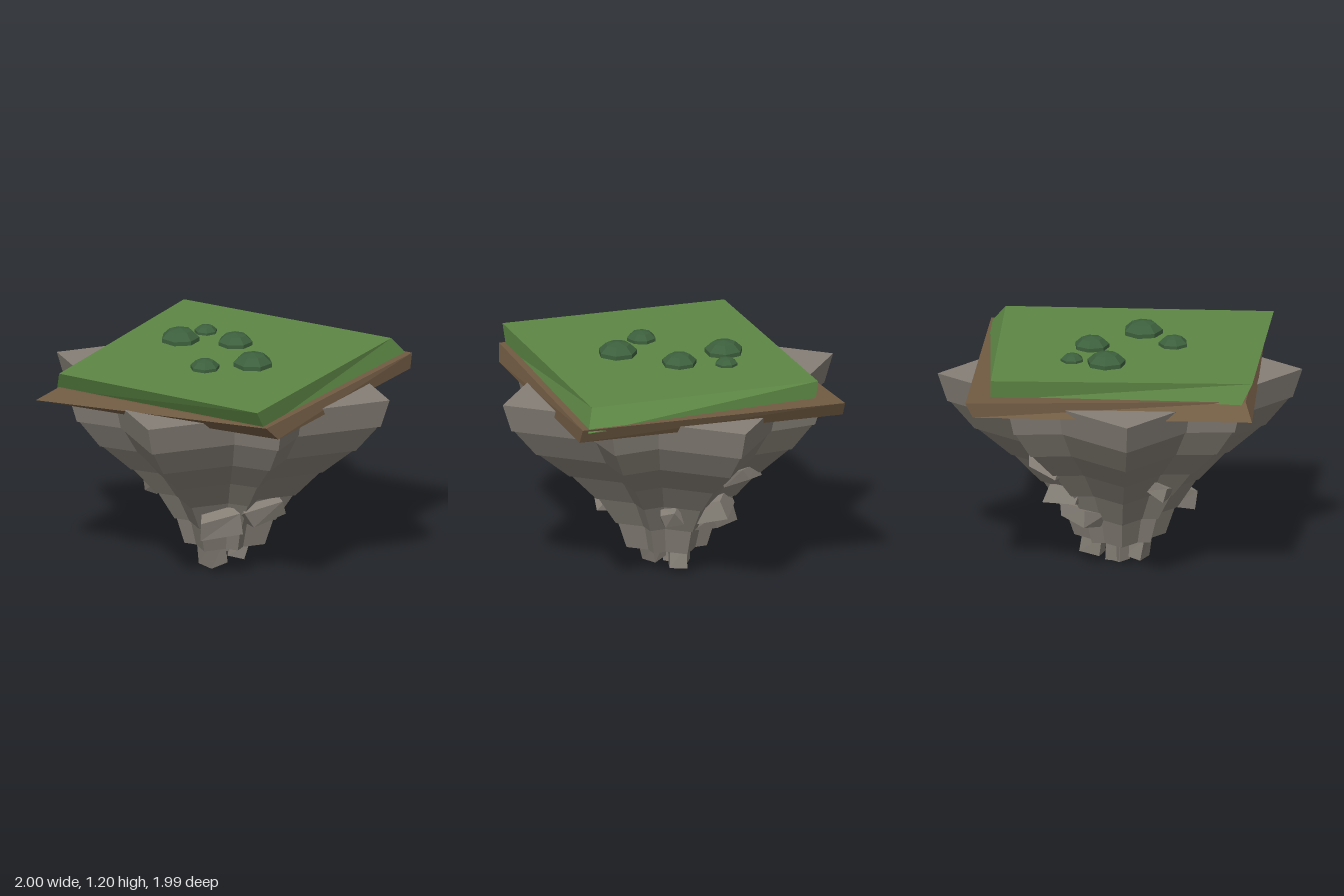
import * as THREE from 'three';

const flat = (name, color) => {
  const m = new THREE.MeshStandardMaterial({ color, flatShading: true });
  m.name = name;
  return m;
};

// Small seeded generator for the rough stones
function seeded(seed) {
  let s = seed * 7919 + 17;
  return () => {
    s = (s * 16807) % 2147483647;
    return s / 2147483647;
  };
}

// Six-sided block whose eight corners are given by place(signX, signY, signZ)
function block(place) {
  const g = new THREE.BoxGeometry(2, 2, 2);
  const p = g.attributes.position;
  for (let i = 0; i < p.count; i++) {
    p.setXYZ(i, ...place(p.getX(i) > 0, p.getY(i) > 0, p.getZ(i) > 0));
  }
  g.computeVertexNormals();
  return g;
}

// Slab from four corners (left, front, right, back) at two heights
function slab(yBottom, yTop, bottom, top) {
  return block((px, py, pz) => {
    const k = px ? (pz ? 2 : 3) : (pz ? 1 : 0);
    const [x, z] = (py ? top : bottom)[k];
    return [x, py ? yTop : yBottom, z];
  });
}

function stone(w, h, d, seed, rough) {
  const rnd = seeded(seed);
  for (let i = 0; i < 5; i++) rnd();
  const corners = Array.from({ length: 8 }, () => [rnd(), rnd(), rnd()].map((v) => 1 - rough * v));
  return block((px, py, pz) => {
    const c = corners[(px ? 1 : 0) + (py ? 2 : 0) + (pz ? 4 : 0)];
    return [(px ? 0.5 : -0.5) * w * c[0], (py ? 0.5 : -0.5) * h * c[1], (pz ? 0.5 : -0.5) * d * c[2]];
  });
}

export function createModel() {
  const model = new THREE.Group();
  const rock = flat('grey rock', 0x857f76);
  const soil = flat('brown soil', 0x715b43);
  const grass = flat('green grass', 0x5d8745);
  const leaf = flat('dark green leaf', 0x3d603d);

  const add = (name, geometry, material, parent = model) => {
    const mesh = new THREE.Mesh(geometry, material);
    mesh.name = name;
    parent.add(mesh);
    return mesh;
  };

  // Tapering rock: every layer is a square frustum crossed by a diamond one
  const rockBody = new THREE.Group();
  rockBody.name = 'rockBody';
  model.add(rockBody);
  const levels = [
    [1.0, 0.85], [0.85, 0.805], [0.70, 0.678], [0.555, 0.508],
    [0.41, 0.37], [0.26, 0.268], [0.12, 0.213],
  ];
  for (let i = 0; i < levels.length - 1; i++) {
    const [y1, r1] = levels[i];
    const [y0, r0] = levels[i + 1];
    const topRadius = i ? r1 - 0.012 : r1;
    for (const [name, scale, turn] of [['diamondLayer', 1, 0], ['squareLayer', 1.105, Math.PI / 4]]) {
      const layer = add(name, new THREE.CylinderGeometry(topRadius * scale, r0 * scale, y1 - y0, 4), rock, rockBody);
      layer.rotation.y = turn;
      layer.position.set(0, (y0 + y1) / 2, 0.02);
    }
  }

  // Jutting shards: position, size, rotation
  const shards = [
    [[-0.12, 0.31, 0.30], [0.24, 0.13, 0.14], [0.2, -0.2, 0.15]],
    [[0.10, 0.35, 0.30], [0.28, 0.13, 0.14], [0.2, 0.2, 0.15]],
    [[0.10, 0.37, -0.24], [0.24, 0.11, 0.24], [0.3, 0.15, -0.1]],
    [[0.09, 0.55, -0.40], [0.24, 0.08, 0.18], [0.4, 0.1, 0.1]],
    [[0.03, 0.28, -0.23], [0.28, 0.10, 0.16], [0.2, -0.15, 0.1]],
    [[-0.35, 0.45, -0.04], [0.12, 0.09, 0.14], [0.2, 0.3, 0.4]],
    [[0.29, 0.36, -0.10], [0.11, 0.10, 0.13], [0.3, 0.2, -0.3]],
  ];
  shards.forEach(([pos, size, rot], i) => {
    const s = add('rockShard', stone(...size, i + 3, 0.45), rock);
    s.position.set(...pos);
    s.rotation.set(...rot);
  });

  // Broken stones hanging from the underside
  const hanging = [
    [[-0.08, 0.07, 0.07], [0.11, 0.13, 0.12], 0.15],
    [[-0.03, 0.065, -0.02], [0.08, 0.13, 0.14], 0],
    [[0.10, 0.08, -0.07], [0.12, 0.12, 0.10], 0.2],
    [[0.06, 0.08, 0.08], [0.10, 0.10, 0.10], -0.2],
  ];
  hanging.forEach(([pos, size, tilt], i) => {
    const s = add('hangingStone', stone(...size, i + 21, 0.2), rock);
    s.position.set(...pos);
    s.rotation.set(0, tilt * 2, tilt);
  });
  const tip = add('lowestStone', new THREE.BoxGeometry(0.05, 0.12, 0.08), rock);
  tip.position.set(-0.045, 0.06, -0.02);

  // Uneven soil and turf slabs
  add('soilSlab', slab(0.965, 1.04,
    [[-1, -0.06], [-0.055, 0.965], [0.98, 0.15], [0.11, -0.975]],
    [[-0.9, 0.0], [-0.13, 0.99], [1, 0.125], [0.14, -1]]), soil);
  add('grassSlab', slab(1.022, 1.13,
    [[-0.895, -0.03], [-0.125, 0.95], [0.985, 0.10], [0.12, -0.83]],
    [[-0.91, 0.04], [-0.18, 0.99], [0.89, 0.115], [0.11, -0.84]]), grass);

  // Low faceted bushes: x, z, radius
  const bushes = [
    [-0.14, -0.235, 0.105], [0.03, -0.31, 0.062], [0.105, -0.08, 0.095],
    [-0.18, 0.23, 0.08], [0.07, 0.27, 0.107],
  ];
  bushes.forEach(([x, z, r], i) => {
    const b = add('bush', new THREE.SphereGeometry(r, 7, 5), leaf);
    b.scale.y = 0.66;
    b.position.set(x, 1.13, z);
    b.rotation.y = i * 0.4;
  });

  return model;
}
